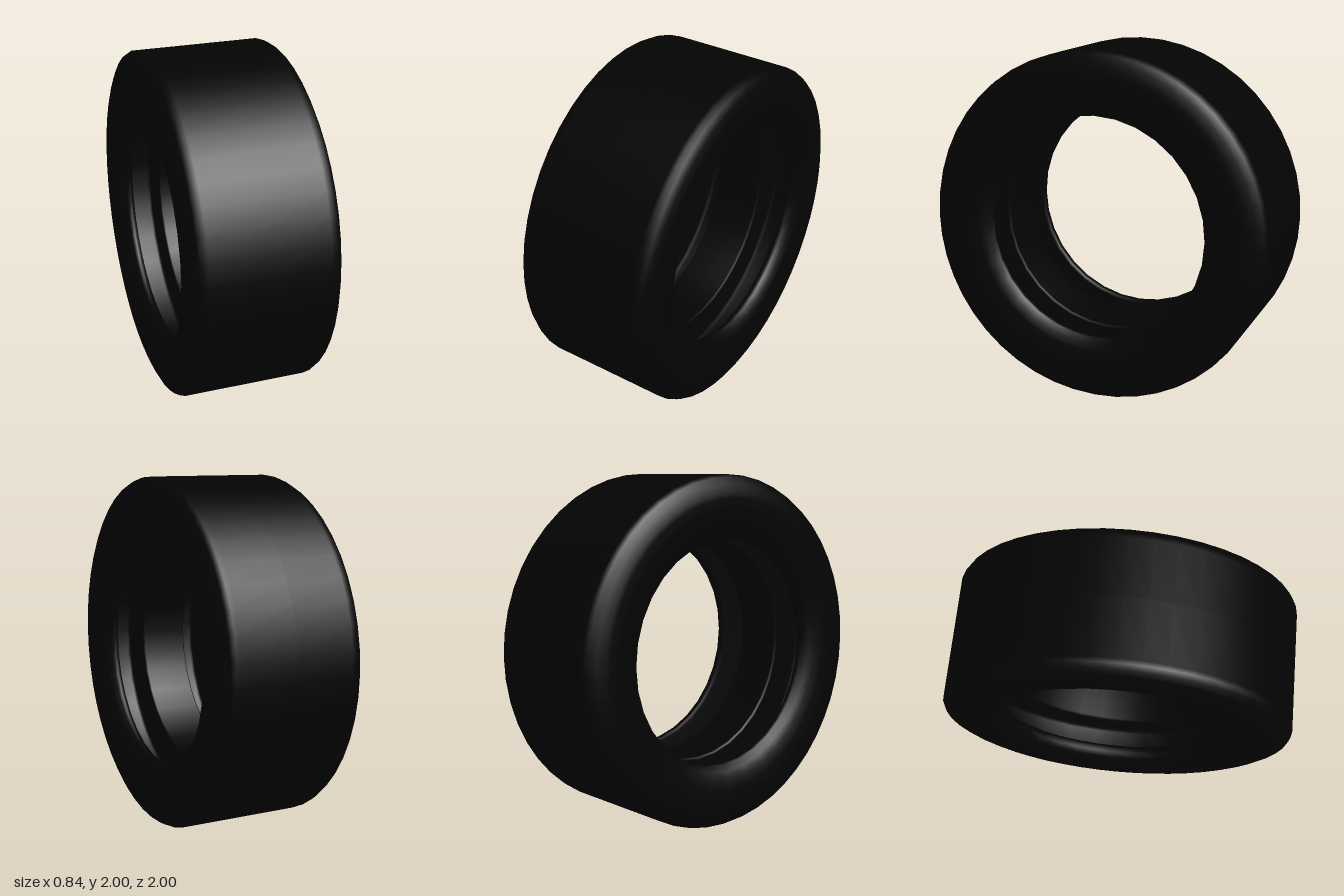
import * as THREE from 'three';

// Half profiles as [radius, distance from the middle plane]
const TREAD = [
  [1.0, 0], [1.0, 0.33], [1.0, 0.355], [0.985, 0.382], [0.945, 0.402],
  [0.9, 0.418], [0.87, 0.42], [0.83, 0.42],
];
const BORE = [
  [0.645, 0], [0.645, 0.132], [0.649, 0.141], [0.66, 0.145], [0.83, 0.145],
  [0.852, 0.15], [0.86, 0.165], [0.86, 0.28], [0.852, 0.295], [0.83, 0.30],
  [0.66, 0.31], [0.648, 0.32], [0.645, 0.335], [0.646, 0.355],
  [0.68, 0.382], [0.72, 0.401], [0.78, 0.414], [0.86, 0.419],
];

// Mirrors a half profile across the middle plane; `side` sets which way it faces
function ring(half, segments, side, material, name) {
  const mirrored = half.slice(1).reverse().map(([r, t]) => [r, -t]);
  const points = [...mirrored, ...half].map(([r, t]) => new THREE.Vector2(r, t * side));
  const geometry = new THREE.LatheGeometry(points, segments);
  geometry.rotateZ(-Math.PI / 2);
  const mesh = new THREE.Mesh(geometry, material);
  mesh.name = name;
  mesh.position.y = 1;
  return mesh;
}

export function createModel() {
  const group = new THREE.Group();
  group.name = 'tire';
  const rubber = new THREE.MeshStandardMaterial({ color: 0x030303 });
  rubber.name = 'black rubber';

  // Smooth tread with rounded shoulders and the outer sidewalls
  group.add(ring(TREAD, 48, 1, rubber, 'treadAndSidewalls'));
  // Inner bore: raised middle band, a deep channel on each side, bead lips and dished sidewalls
  group.add(ring(BORE, 32, -1, rubber, 'innerBore'));
  return group;
}
